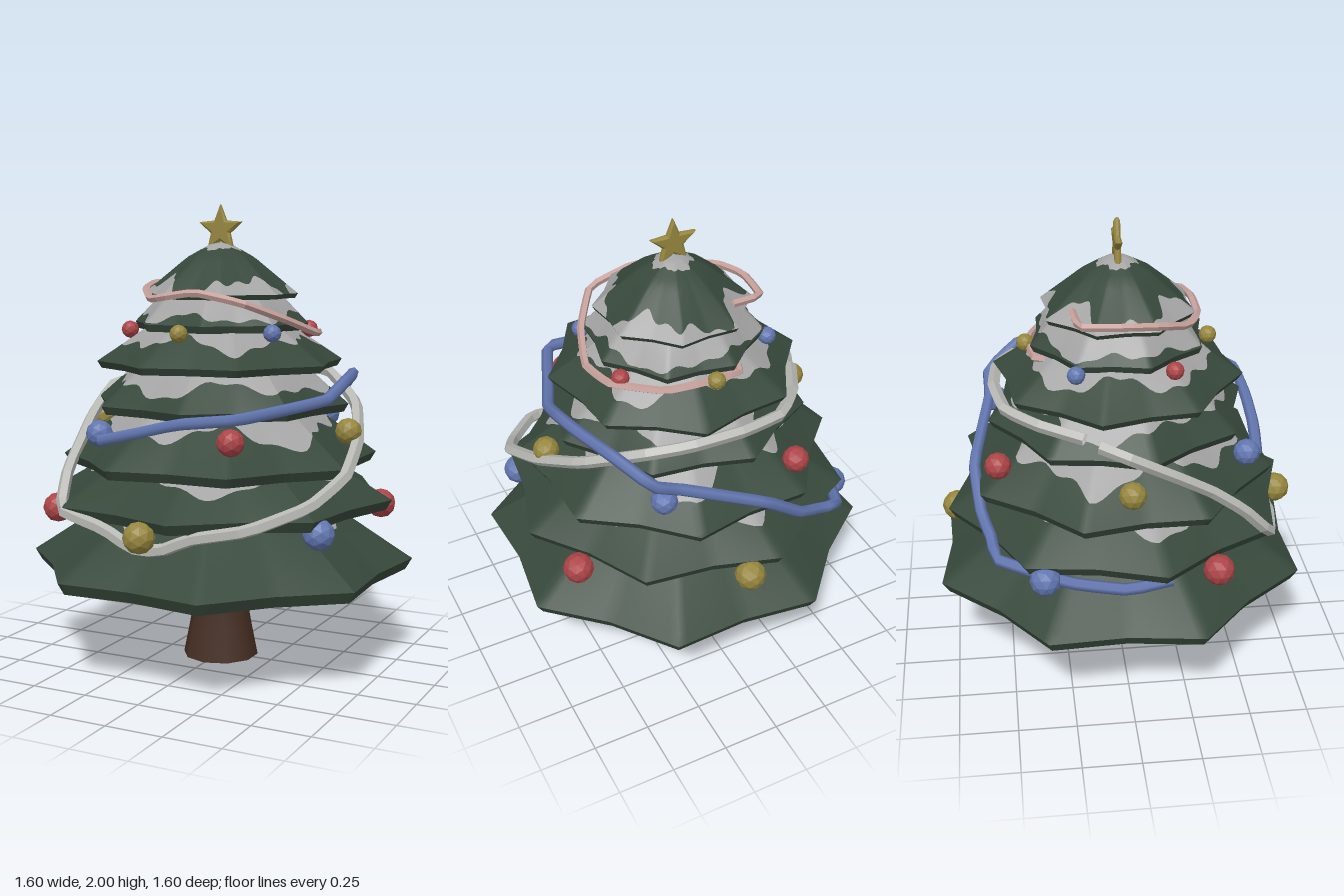
import * as THREE from 'three';

const material = (name, color, extra = {}) => {
  const m = new THREE.MeshStandardMaterial({ color, ...extra });
  m.name = name;
  return m;
};

// Point on an eight-cornered outline whose sides are slightly notched
function outline(angle, offset) {
  const step = Math.PI / 8;
  const k = (angle - offset) / step;
  const i = Math.floor(k + 1e-6);
  const corner = (n) => {
    const r = n % 2 === 0 ? 1 : 0.89;
    return new THREE.Vector2(Math.cos(offset + n * step) * r, Math.sin(offset + n * step) * r);
  };
  return corner(i).lerp(corner(i + 1), k - i);
}

// Band of a tier: profile(v) gives [radius, height]; from(a) and to(a) limit v.
// The outline grows rounder with v by the share given in rounding.
function band(profile, offset, from, to, rows, rounding = 0) {
  const segs = 128, pos = [], index = [];
  for (let j = 0; j <= rows; j++) {
    for (let i = 0; i <= segs; i++) {
      const a = (i / segs) * Math.PI * 2;
      const v = THREE.MathUtils.lerp(from(a), to(a), j / rows);
      const [r, y] = profile(v);
      const round = new THREE.Vector2(Math.cos(a + offset), Math.sin(a + offset)).multiplyScalar(0.94);
      const p = outline(a + offset, offset).lerp(round, v * rounding);
      pos.push(p.x * r, y, p.y * r);
    }
  }
  for (let j = 0; j < rows; j++) {
    for (let i = 0; i < segs; i++) {
      const p = j * (segs + 1) + i, up = p + segs + 1;
      index.push(p, up, p + 1, p + 1, up, up + 1);
    }
  }
  const g = new THREE.BufferGeometry();
  g.setAttribute('position', new THREE.Float32BufferAttribute(pos, 3));
  g.setIndex(index);
  g.computeVertexNormals();
  return g;
}

// Piecewise linear profile through [radius, height] points
const polyline = (pts) => (v) => {
  const k = THREE.MathUtils.clamp(v, 0, 1) * (pts.length - 1);
  const i = Math.min(Math.floor(k), pts.length - 2), f = k - i;
  return [0, 1].map((c) => THREE.MathUtils.lerp(pts[i][c], pts[i + 1][c], f));
};

export function createModel() {
  const tree = new THREE.Group();
  tree.name = 'decoratedTree';

  const green = material('needleGreen', 0x37483b);
  const snow = material('snow', 0xa4a4a4);
  const brown = material('bark', 0x452e23);
  const gold = material('gold', 0x96863e, { flatShading: true });
  const red = material('red', 0xac4448, { flatShading: true });
  const blue = material('blue', 0x6276b0, { flatShading: true });
  const blueCord = material('blueCord', 0x6276b0, { side: THREE.DoubleSide });
  const whiteCord = material('whiteCord', 0xb8b8b4, { side: THREE.DoubleSide, flatShading: true });
  const pinkCord = material('pinkCord', 0xc6a09b, { side: THREE.DoubleSide, flatShading: true });

  const add = (parent, name, geometry, mat) => {
    const mesh = new THREE.Mesh(geometry, mat);
    mesh.name = name;
    parent.add(mesh);
    return mesh;
  };

  // Trunk, with its snowy upper part
  const lathe = (pts) => new THREE.LatheGeometry(pts.map(([x, y]) => new THREE.Vector2(x, y)), 10);
  add(tree, 'trunk', lathe([[0.168, 0], [0.142, 0.13], [0.117, 0.27], [0.11, 0.42], [0.1, 0.6]]), brown);
  add(tree, 'trunkSnow', lathe([[0.1, 0.6], [0.09, 1.0]]), snow);
  const base = add(tree, 'trunkBase', new THREE.CircleGeometry(0.168, 10), brown);
  base.rotation.set(Math.PI / 2, 0, Math.PI / 2);
  base.position.y = 0.001;

  // Nested branch tiers: hem height, rim height, corner radius, upper slope
  // points, snow line along the slope, twist in degrees
  const tiers = [
    { hem: 0.41, rim: 0.46, r: 0.85, slope: [[0.5, 0.7], [0.09, 0.98]], line: 0.46, twist: 25 },
    { hem: 0.70, rim: 0.745, r: 0.765, slope: [[0.53, 0.89], [0.09, 1.16]], line: 0.4, twist: 35 },
    { hem: 0.88, rim: 0.92, r: 0.69, slope: [[0.43, 1.12], [0.09, 1.38]], line: 0.32, twist: 17 },
    { hem: 1.12, rim: 1.155, r: 0.57, slope: [[0.41, 1.3], [0.09, 1.57]], line: 0.28, twist: 35 },
    { hem: 1.30, rim: 1.33, r: 0.54, slope: [[0.34, 1.47], [0.09, 1.64]], line: 0.31, twist: 12 },
    { hem: 1.465, rim: 1.495, r: 0.385, slope: [[0.29, 1.6], [0.15, 1.71]], line: 0.12, twist: 30 },
    { hem: 1.60, rim: 1.62, r: 0.335, slope: [[0.24, 1.7], [0.15, 1.775], [0.05, 1.83], [0.001, 1.84]], line: 0.66, twist: 20 },
  ];
  tiers.forEach((t, n) => {
    const group = new THREE.Group();
    group.name = 'tier' + (n + 1);
    tree.add(group);
    const offset = THREE.MathUtils.degToRad(t.twist);
    const isTop = n === tiers.length - 1;
    const top = polyline([[t.r, t.rim], ...t.slope]);
    const zero = () => 0, one = () => 1;
    const wave = (a) => 0.5 * Math.sin(4 * a + n * 2.1) + 0.35 * Math.sin(7 * a + n * 1.3) + 0.2 * Math.sin(17 * a + n);
    const high = (a) => Math.max(0.03, t.line + (isTop ? 0.04 : 0.16) * wave(a));
    const low = isTop ? (a) => Math.max(0, 0.12 + 0.18 * wave(a)) : zero;
    add(group, 'needles', band(top, offset, low, high, 8, 0.8), green);
    add(group, 'snowCover', band(top, offset, high, one, 8, 0.8), snow);
    if (isTop) add(group, 'snowHem', band(top, offset, zero, low, 3, 0.8), snow);
    // Turned-under hem and hollow underside
    const hem = [t.r * 0.965, t.hem];
    const inner = t.slope.slice(0, 2).reverse().map(([r, y]) => [r - 0.01, y - 0.045]);
    add(group, 'hem', band(polyline([hem, [t.r, t.rim]]), offset, zero, one, 1), green);
    add(group, 'underside', band(polyline([...inner, hem]), offset, zero, one, 4), green);
  });

  // Hanging balls, three rings
  const rings = [
    { y: 0.68, size: 0.066, balls: [[gold, 0, 0.73], [gold, 0, -0.72], [blue, 0.615, 0.36], [red, 0.625, -0.36], [red, -0.625, 0.36], [blue, -0.625, -0.36]] },
    { y: 1.05, size: 0.057, balls: [[gold, 0.6, 0], [gold, -0.605, 0], [red, 0.3, 0.52], [blue, -0.305, 0.52], [blue, 0.3, -0.52], [red, -0.31, -0.53]] },
    { y: 1.465, size: 0.038, balls: [[gold, 0, 0.39], [gold, 0, -0.39], [blue, 0.335, 0.2], [red, 0.335, -0.2], [red, -0.34, 0.2], [blue, -0.34, -0.2]] },
  ];
  rings.forEach(({ y, size, balls }) => {
    const geometry = new THREE.IcosahedronGeometry(size, 1);
    balls.forEach(([mat, x, z]) => add(tree, mat.name + 'Ball', geometry, mat).position.set(x, y, z));
  });

  // Garlands wound round the tree, with slight kinks
  const garland = (name, pts, radius, sides, mat) => {
    const curve = new THREE.CatmullRomCurve3(pts.map((p) => new THREE.Vector3(...p)), false, 'catmullrom', 0.15);
    add(tree, name, new THREE.TubeGeometry(curve, pts.length * 3, radius, sides), mat);
  };
  garland('whiteGarland', [
    [-0.5, 1.22, -0.12], [-0.56, 1.19, 0], [-0.54, 1.08, 0.2], [-0.51, 0.99, 0.34], [-0.49, 0.88, 0.48],
    [-0.44, 0.73, 0.61], [-0.2, 0.68, 0.66], [-0.06, 0.62, 0.68], [0.06, 0.62, 0.68], [0.2, 0.68, 0.67],
    [0.43, 0.73, 0.64], [0.6, 0.8, 0.43], [0.68, 0.9, 0.25], [0.64, 1.01, 0], [0.54, 1.14, -0.25],
    [0.35, 1.25, -0.44], [0.18, 1.28, -0.51], [-0.05, 1.29, -0.53], [-0.25, 1.28, -0.49],
    [-0.38, 1.27, -0.36], [-0.48, 1.25, -0.18],
  ], 0.027, 5, whiteCord);
  garland('blueGarland', [
    [-0.27, 1.03, 0.57], [-0.1, 1.07, 0.59], [0.1, 1.12, 0.59], [0.35, 1.15, 0.57], [0.46, 1.17, 0.3],
    [0.54, 1.19, 0.1], [0.55, 1.25, -0.08], [0.53, 1.26, -0.2], [0.47, 1.26, -0.4], [0.36, 1.17, -0.55],
    [0.24, 1.11, -0.55], [-0.12, 0.96, -0.63], [-0.3, 0.82, -0.61], [-0.42, 0.76, -0.57],
    [-0.53, 0.73, -0.55], [-0.64, 0.67, -0.26], [-0.67, 0.64, -0.02], [-0.66, 0.67, 0.16],
  ], 0.026, 6, blueCord);
  garland('pinkGarland', [
    [-0.17, 1.67, -0.2], [-0.31, 1.66, -0.18], [-0.33, 1.66, 0], [-0.29, 1.64, 0.15], [-0.2, 1.6, 0.27],
    [-0.11, 1.61, 0.325], [0.04, 1.63, 0.32], [0.24, 1.59, 0.3], [0.36, 1.52, 0.13], [0.42, 1.46, -0.05],
    [0.38, 1.45, -0.2], [0.2, 1.44, -0.33], [0.05, 1.46, -0.375], [-0.12, 1.45, -0.36], [-0.14, 1.45, -0.31],
  ], 0.017, 5, pinkCord);

  // Star on the tip
  const star = new THREE.Shape();
  for (let i = 0; i < 10; i++) {
    const r = i % 2 ? 0.048 : 0.107, a = Math.PI / 2 + (i * Math.PI) / 5;
    star[i ? 'lineTo' : 'moveTo'](Math.cos(a) * r, Math.sin(a) * r);
  }
  star.closePath();
  const starGeometry = new THREE.ExtrudeGeometry(star, {
    depth: 0.012, bevelThickness: 0.008, bevelSize: 0.01, bevelOffset: -0.01, bevelSegments: 1,
  });
  starGeometry.translate(0, 0, -0.006);
  add(tree, 'star', starGeometry, gold).position.y = 1.893;

  return tree;
}
